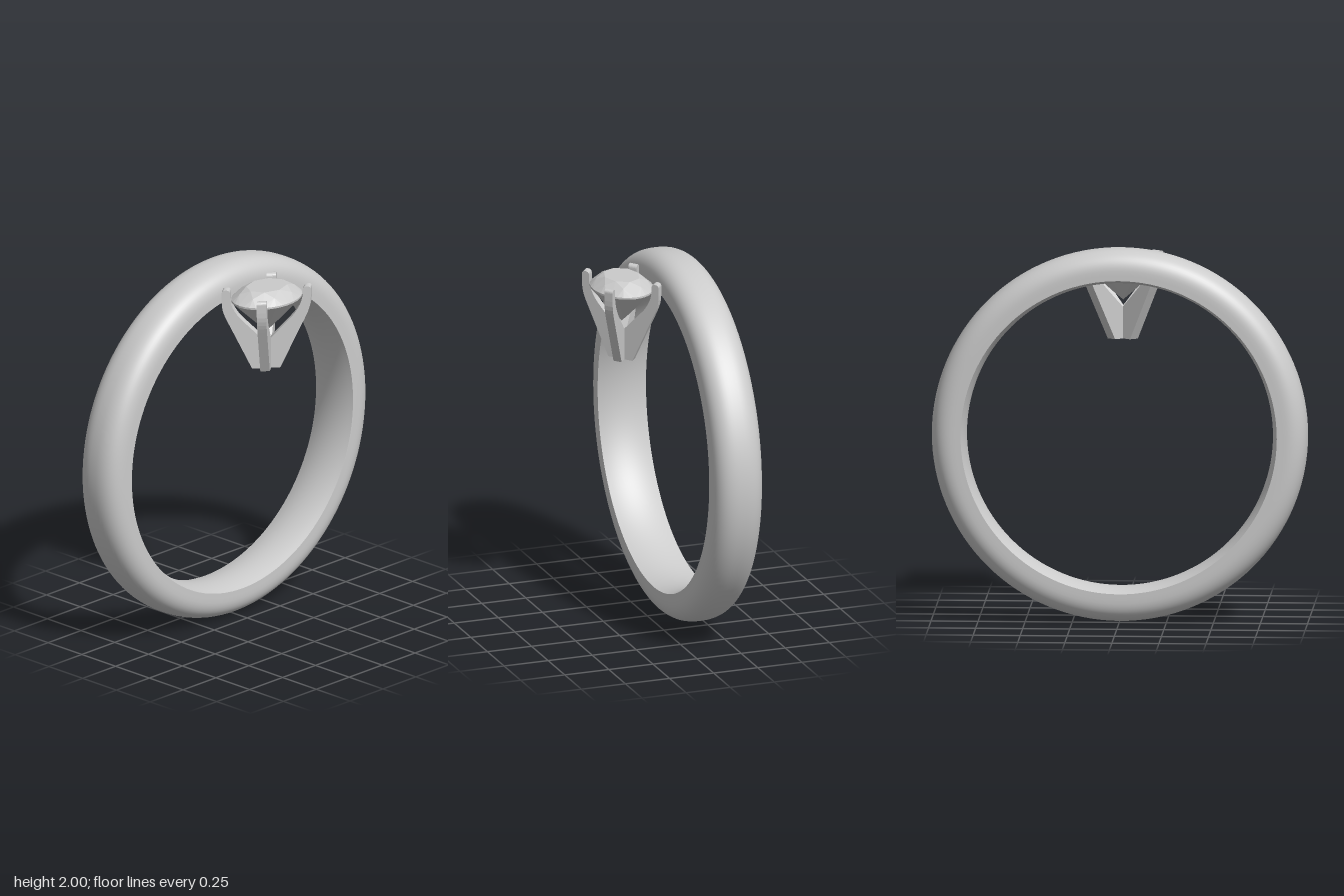
import * as THREE from 'three';
import { ConvexGeometry } from 'three/addons/geometries/ConvexGeometry.js';

const material = () => new THREE.MeshStandardMaterial({ color: 0xcccccc });
const STRETCH = 1.3; // the setting and stone are oval, wider along x

function addMesh(parent, geometry, name, mat = material()) {
  const mesh = new THREE.Mesh(geometry, mat);
  mesh.name = name;
  parent.add(mesh);
  return mesh;
}

// Band: domed outside and gently bulging inside, meeting in a crisp edge
function createBand() {
  const band = new THREE.Group();
  band.name = 'band';
  const half = 0.137, edge = 0.84, shoulder = 0.87;
  const outer = [new THREE.Vector2(edge, -half)];
  const inner = [];
  for (let i = 0; i <= 28; i++) {
    const a = -Math.PI / 2 + (Math.PI * i) / 28;
    const c = Math.max(0, Math.cos(a)), s = Math.sin(a);
    outer.push(new THREE.Vector2(
      shoulder + (0.999 - shoulder) * Math.pow(c, 0.8),
      half * Math.sign(s) * Math.pow(Math.abs(s), 0.8)));
  }
  outer.push(new THREE.Vector2(edge, half));
  for (let i = 0; i <= 12; i++) {
    const t = 1 - i / 6;
    inner.push(new THREE.Vector2(0.813 + (edge - 0.813) * t * t, half * t));
  }
  addMesh(band, new THREE.LatheGeometry(outer, 128).rotateX(Math.PI / 2), 'bandOutside');
  addMesh(band, new THREE.LatheGeometry(inner, 128).rotateX(Math.PI / 2), 'bandInside');
  band.position.set(0, 1, -0.172);
  return band;
}

// Prongs: four flat arms crossing at the foot and rising to rounded tips
function createProngs() {
  const prongs = new THREE.Group();
  prongs.name = 'prongs';
  const thick = 0.044;
  const s = new THREE.Shape();
  s.moveTo(0, 1.47);
  s.lineTo(0.065, 1.47);
  s.lineTo(0.165, 1.71);
  s.bezierCurveTo(0.19, 1.77, 0.206, 1.8, 0.206, 1.86);
  s.lineTo(0.206, 1.905);
  s.quadraticCurveTo(0.205, 1.921, 0.188, 1.921);
  s.quadraticCurveTo(0.168, 1.921, 0.168, 1.9);
  s.lineTo(0.167, 1.865);
  s.bezierCurveTo(0.162, 1.82, 0.135, 1.775, 0.11, 1.745);
  s.lineTo(0, 1.615);
  const geometry = new THREE.ExtrudeGeometry(s, { depth: thick, bevelEnabled: false, curveSegments: 6 });
  geometry.translate(0, 0, -thick / 2);
  for (let i = 0; i < 4; i++) {
    addMesh(prongs, geometry, 'prong').rotation.y = Math.PI / 4 + (i * Math.PI) / 2;
  }
  prongs.scale.x = STRETCH;
  return prongs;
}

// Stone: faceted oval cut with table, crown, girdle and pointed pavilion
function createStone() {
  const R = 0.163;
  const points = [new THREE.Vector3(0, 1.675, 0)];
  const ring = (count, radius, y, turn = 0) => {
    for (let i = 0; i < count; i++) {
      const a = ((i + turn) / count) * Math.PI * 2;
      points.push(new THREE.Vector3(Math.cos(a) * radius * STRETCH, y, Math.sin(a) * radius));
    }
  };
  ring(8, R * 0.58, 1.93);
  ring(8, R * 0.8, 1.907, 0.5);
  ring(32, R, 1.872);
  ring(32, R, 1.862);
  ring(8, R * 0.25, 1.718, 0.5);
  const mat = material();
  mat.flatShading = true;
  const holder = new THREE.Group();
  holder.name = 'stone';
  addMesh(holder, new ConvexGeometry(points), 'facetedStone', mat);
  return holder;
}

export function createModel() {
  const model = new THREE.Group();
  model.name = 'ring';
  const head = new THREE.Group();
  head.name = 'head';
  head.add(createProngs(), createStone());
  head.position.z = 0.145;
  model.add(createBand(), head);
  return model;
}
